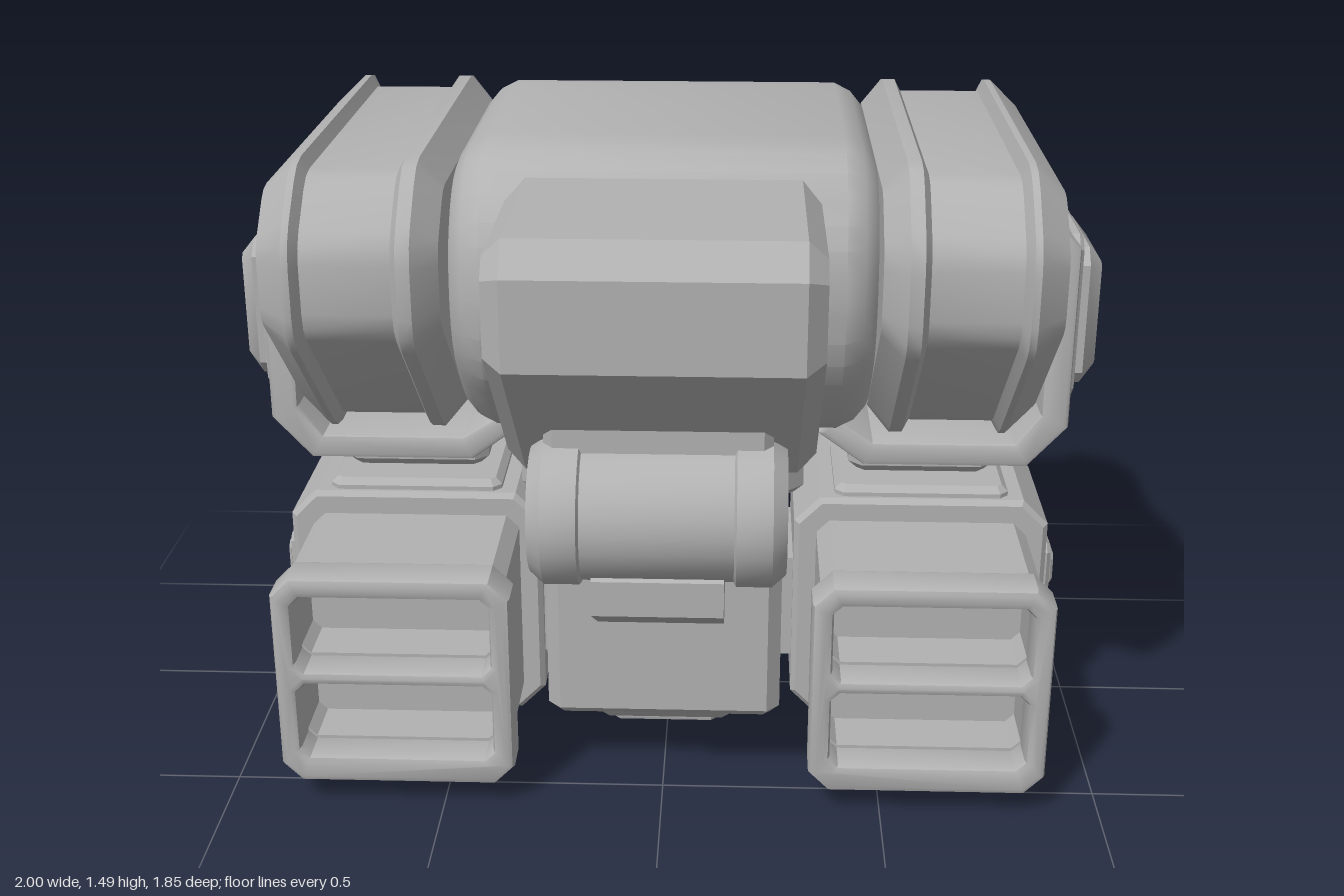
import * as THREE from 'three';
import { toCreasedNormals } from 'three/addons/utils/BufferGeometryUtils.js';

const grey = new THREE.MeshStandardMaterial({ color: 0xb2b2b2 });
grey.name = 'plainGrey';

// Ensure counter-clockwise order
function ccw(p) {
  let a = 0;
  p.forEach(([x, y], i) => { const q = p[(i + 1) % p.length]; a += x * q[1] - q[0] * y; });
  return a < 0 ? [...p].reverse() : p;
}

// Rectangle with cut corners
function rect(cx, cy, w, h, c) {
  const a = w / 2, b = h / 2;
  return [[a - c, -b], [a, -b + c], [a, b - c], [a - c, b], [-a + c, b], [-a, b - c], [-a, -b + c], [-a + c, -b]]
    .map(([x, y]) => [cx + x, cy + y]);
}

// Round every corner of an outline
function rounded(p, r, n) {
  return p.flatMap(([x, y], i) => {
    const toward = (q) => { const d = Math.hypot(q[0] - x, q[1] - y), k = Math.min(r / d, 0.45); return [x + (q[0] - x) * k, y + (q[1] - y) * k]; };
    const a = toward(p[(i + p.length - 1) % p.length]), b = toward(p[(i + 1) % p.length]);
    return Array.from({ length: n + 1 }, (_, j) => {
      const t = j / n, u = 1 - t;
      return [0, 1].map((k) => u * u * a[k] + 2 * u * t * [x, y][k] + t * t * b[k]);
    });
  });
}

// Move the edges of a convex outline inward by d
function inset(p, d) {
  const n = p.length;
  const dir = (a, b) => { const l = Math.hypot(b[0] - a[0], b[1] - a[1]); return [(b[0] - a[0]) / l, (b[1] - a[1]) / l]; };
  return p.map((c, i) => {
    const e = dir(p[(i + n - 1) % n], c), f = dir(c, p[(i + 1) % n]);
    const k = d / (1 + e[0] * f[0] + e[1] * f[1]);
    return [c[0] - k * (e[1] + f[1]), c[1] + k * (e[0] + f[0])];
  });
}

// Convex outline swept through [position, inset] sections along an axis.
// Outlines are [x,y] along z, [z,y] along x and [x,z] along y.
function loft(axis, pts, secs) {
  const o = ccw(pts.map(([u, v]) => (axis === 'x' ? [-u, v] : axis === 'y' ? [u, -v] : [u, v])));
  const rings = secs.map(([t, d]) => inset(o, d).map(([u, v]) => [u, v, t]));
  const pos = [], n = o.length, tri = (...c) => c.forEach((v) => pos.push(...v));
  for (let s = 0; s < rings.length - 1; s++) {
    for (let i = 0; i < n; i++) {
      const j = (i + 1) % n, A = rings[s], B = rings[s + 1];
      tri(A[i], A[j], B[j], A[i], B[j], B[i]);
    }
  }
  const first = rings[0], last = rings[rings.length - 1];
  for (let i = 1; i < n - 1; i++) { tri(first[0], first[i + 1], first[i]); tri(last[0], last[i], last[i + 1]); }
  const g = new THREE.BufferGeometry();
  g.setAttribute('position', new THREE.Float32BufferAttribute(pos, 3));
  if (axis === 'x') g.rotateY(Math.PI / 2);
  if (axis === 'y') g.rotateX(-Math.PI / 2);
  return g;
}
const chamfered = (axis, pts, a, b, c) => loft(axis, pts, [[a, c], [a + c, 0], [b - c, 0], [b, c]]);

// Extruded outline with holes, from z0 to z1, with a soft edge
function frame(pts, holes, z0, z1, b) {
  const v = (p) => p.map(([x, y]) => new THREE.Vector2(x, y));
  const shape = new THREE.Shape(v(pts));
  holes.forEach((h) => shape.holes.push(new THREE.Path(v(h))));
  return new THREE.ExtrudeGeometry(shape, { depth: z1 - z0 - 2 * b, bevelThickness: b, bevelSize: b, bevelOffset: -b, bevelSegments: 2, bevelEnabled: b > 0 })
    .translate(0, 0, z0 + b);
}

const box = (w, h, d, x, y, z) => new THREE.BoxGeometry(w, h, d).translate(x, y, z);

export function createModel() {
  const model = new THREE.Group();

  // Adds a mesh; side -1 mirrors it across x
  function add(name, geo, side = 1) {
    const src = geo.index ? geo.toNonIndexed() : geo;
    const a = Array.from(src.attributes.position.array);
    if (side < 0) {
      for (let i = 0; i < a.length; i += 9) {
        const [x0, y0, z0, x1, y1, z1, x2, y2, z2] = a.slice(i, i + 9);
        a.splice(i, 9, -x0, y0, z0, -x2, y2, z2, -x1, y1, z1);
      }
    }
    const g = new THREE.BufferGeometry();
    g.setAttribute('position', new THREE.Float32BufferAttribute(a, 3));
    const mesh = new THREE.Mesh(toCreasedNormals(g, 0.5), grey);
    mesh.name = name;
    model.add(mesh);
  }

  // Central drum
  const drum = rounded([[0.36, 1.49], [-0.42, 1.49], [-0.69, 1.22], [-0.69, 1.06], [-0.38, 0.79], [0.27, 0.79], [0.52, 1.04], [0.52, 1.32]], 0.13, 4);
  add('drum', loft('x', drum, [[-0.47, 0.09], [-0.455, 0.05], [-0.43, 0.02], [-0.39, 0], [0.39, 0], [0.43, 0.02], [0.455, 0.05], [0.47, 0.09]]));
  add('drumUnderside', chamfered('y', rect(0, 0.12, 0.62, 0.82, 0.04), 0.75, 0.9, 0.02));

  // Hood at the front
  add('hood', chamfered('x', [[0.86, 1.435], [0.92, 1.37], [0.92, 1.18], [0.54, 0.82], [0.3, 0.82], [0.3, 1.435]], -0.335, 0.335, 0.04));
  add('hoodBracket', chamfered('x', [[0.71, 0.99], [0.71, 0.8], [0.6, 0.72], [0.35, 0.76], [0.35, 0.99]], -0.24, 0.24, 0.02));

  // Hinge roller and neck
  const ring = [[0, -0.27], [0.135, -0.27], [0.162, -0.24], [0.162, -0.165], [0.152, -0.16], [0.152, 0.16], [0.162, 0.165], [0.162, 0.24], [0.135, 0.27], [0, 0.27]];
  add('hingeRoller', new THREE.LatheGeometry(ring.map((p) => new THREE.Vector2(...p)), 24).rotateZ(-Math.PI / 2).translate(0, 0.785, 0.665));
  add('neck', loft('x', [[0.765, 0.66], [0.765, 0.58], [0.58, 0.47], [0.1, 0.47], [0.1, 0.8], [0.6, 0.8]], [[-0.14, 0], [0.14, 0]]));

  // Offset box at the back
  add('backBox', chamfered('x', [[-0.76, 1.28], [-0.92, 1.11], [-0.92, 0.94], [-0.77, 0.76], [-0.3, 0.76], [-0.3, 1.28]], -0.37, 0.16, 0.04));
  const panel = (h) => frame(rect(0, 0, 0.42, h, 0.025), [rect(0, 0, 0.37, h - 0.05, 0.015)], -0.012, 0.006, 0.004);
  add('backPanelFrame', panel(0.15).translate(-0.105, 1.025, -0.92));
  add('lowerPanelFrame', panel(0.19).rotateX(-0.695).translate(-0.105, 0.85, -0.845));
  add('backBoxFloor', loft('y', rect(-0.105, -0.53, 0.42, 0.42, 0.04), [[0.71, 0.025], [0.73, 0], [0.77, 0]]));
  add('latchRoller', new THREE.CylinderGeometry(0.05, 0.05, 0.26, 12).rotateZ(Math.PI / 2).translate(-0.105, 0.665, -0.31));
  add('latchPlate', chamfered('y', rect(-0.105, -0.52, 0.24, 0.38, 0.03), 0.655, 0.72, 0.015));

  // Top lugs and grab rails on the drum
  for (const x of [-0.295, 0.33]) {
    add('topLug', loft('x', [[-0.45, 1.41], [-0.63, 1.405], [-0.63, 1.35], [-0.6, 1.32], [-0.48, 1.32]], [[x - 0.08, 0], [x + 0.08, 0]]));
    add('lugFrame', frame(rect(x, 1.377, 0.14, 0.05, 0.008), [rect(x, 1.377, 0.1, 0.025, 0.004)], -0.637, -0.62, 0));
  }
  for (const [z, y, tilt] of [[-0.69, 1.125, 0], [-0.632, 0.955, -0.72], [-0.54, 0.86, -0.8]]) {
    const rail = new THREE.CatmullRomCurve3([[-0.08, 0.04], [-0.075, -0.02], [0.075, -0.02], [0.08, 0.04]].map(([x, d]) => new THREE.Vector3(x, 0, d)), false, 'catmullrom', 0.1);
    add('grabRail', new THREE.TubeGeometry(rail, 16, 0.011, 6).rotateX(tilt).translate(0.29, y, z));
  }

  // Lower hull
  add('hull', chamfered('y', rect(0, 0.08, 0.54, 0.76, 0.03), 0.16, 0.545, 0.02));
  add('hullKeel', loft('y', rect(0, 0.14, 0.44, 0.5, 0.06), [[0.085, 0.06], [0.13, 0.02], [0.17, 0]]));
  add('keelFrame', frame(rect(0, 0, 0.3, 0.36, 0.04), [rect(0, 0, 0.22, 0.28, 0.03)], 0, 0.018, 0.003).rotateX(Math.PI / 2).translate(0, 0.088, 0.14));
  add('hullTail', loft('z', rounded(rect(0, 0.31, 0.38, 0.24, 0.05), 0.04, 2), [[-0.42, 0.04], [-0.4, 0.015], [-0.36, 0], [-0.28, 0]]));
  for (const x of [-0.11, 0, 0.11]) add('tailPort', new THREE.TorusGeometry(0.032, 0.01, 6, 16).translate(x, 0.31, -0.42));

  // Nozzle profile
  const nozzle = [[0.096, -0.01], [0.096, 0.03], [0.08, 0.055], [0.064, 0.052], [0.054, 0.004], [0, 0.004]].map((p) => new THREE.Vector2(...p));
  const disc = rounded([[0.5, 1.49], [-0.42, 1.49], [-0.69, 1.2], [-0.69, 1.09], [-0.35, 0.8], [0.27, 0.8], [0.645, 1.14], [0.645, 1.35]], 0.05, 2);
  const strap = [[0.86, 1.275], [0.89, 1.275], [0.93, 1.23], [0.93, 0.8], [0.84, 0.7], [0.46, 0.7], [0.35, 0.78], [0.38, 0.82], [0.48, 0.757], [0.81, 0.757], [0.865, 0.83]];
  const cx = 0.602, cy = 0.315;

  for (const s of [1, -1]) {
    // Side disc with a groove between two flanges
    add('sideDisc', loft('x', disc, [[0.46, 0.06], [0.51, 0], [0.54, 0], [0.555, 0.028], [0.745, 0.028], [0.76, 0], [0.775, 0], [0.84, 0.062]]), s);

    // Strap around the disc, hub and slot bar
    add('strap', frame(strap, [], -0.245, 0.215, 0.012), s);
    add('strapPad', chamfered('z', rect(0, 0, 0.13, 0.03, 0.005), -0.18, 0.15, 0.01).rotateZ(0.84).translate(0.888, 0.748, 0), s);
    add('strapFoot', loft('y', rect(0.597, -0.01, 0.34, 0.4, 0.03), [[0.67, 0.02], [0.69, 0], [0.72, 0]]), s);
    add('hubBase', chamfered('x', rect(-0.012, 1.05, 0.38, 0.4, 0.03), 0.91, 0.942, 0.01), s);
    add('hub', loft('x', rect(-0.012, 1.045, 0.33, 0.33, 0.035), [[0.93, 0], [0.962, 0], [0.995, 0.04]]), s);
    add('hubSlot', box(0.012, 0.036, 0.23, 0, 0, 0).rotateX(-Math.PI / 4).translate(0.994, 1.045, -0.012), s);

    // Pod body with framed windows in front and a framed back
    add('podBody', loft('z', rect(cx, cy, 0.495, 0.48, 0.03), [[-0.652, 0], [0.4, 0]]), s);
    const hole = (y, h) => rect(cx, y, 0.44, h, 0.02);
    add('podFrontFrame', frame(rect(cx, cy, 0.535, 0.515, 0.045), [hole(0.432, 0.185), hole(0.215, 0.185)], 0.5, 0.605, 0.015), s);
    add('podFrontTunnel', frame(rect(cx, cy, 0.495, 0.48, 0.03), [hole(0.432, 0.17), hole(0.215, 0.17)], 0.38, 0.52, 0), s);
    add('podBackFrame', frame(rect(cx, cy, 0.535, 0.515, 0.045), [rect(cx, cy, 0.46, 0.445, 0.04)], -0.68, -0.57, 0.012), s);
    for (const x of [-0.107, 0.107]) {
      for (const y of [-0.105, 0.105]) {
        add('nozzle', new THREE.LatheGeometry(nozzle, 10).rotateX(-Math.PI / 2).translate(cx + x, cy + y, -0.652), s);
      }
    }

    // Collar, pads and side plate around the pod
    add('podCollar', chamfered('z', rect(cx, 0.32, 0.6, 0.58, 0.06), -0.16, 0.21, 0.012), s);
    add('podFoot', loft('y', rect(cx, 0.03, 0.41, 0.32, 0.02), [[0, 0.02], [0.02, 0], [0.04, 0]]), s);
    add('podTopPad', loft('y', rect(cx, 0.03, 0.41, 0.32, 0.02), [[0.6, 0], [0.62, 0], [0.635, 0.015]]), s);
    add('podSkirt', chamfered('x', rect(0.025, 0.145, 0.37, 0.19, 0.02), 0.86, 0.915, 0.01), s);
    add('podSidePlate', loft('x', rect(0.02, 0.25, 0.26, 0.44, 0.02), [[0.88, 0], [0.915, 0], [0.925, 0.01]]), s);
    for (const y of [0.395, 0.13]) {
      add('sidePlateFrame', chamfered('x', rect(0.02, y, 0.23, 0.1, 0.02), 0.915, 0.935, 0.012), s);
    }
    add('podLink', box(0.1, 0.26, 0.3, 0.3, 0.31, 0.03), s);
  }
  return model;
}
